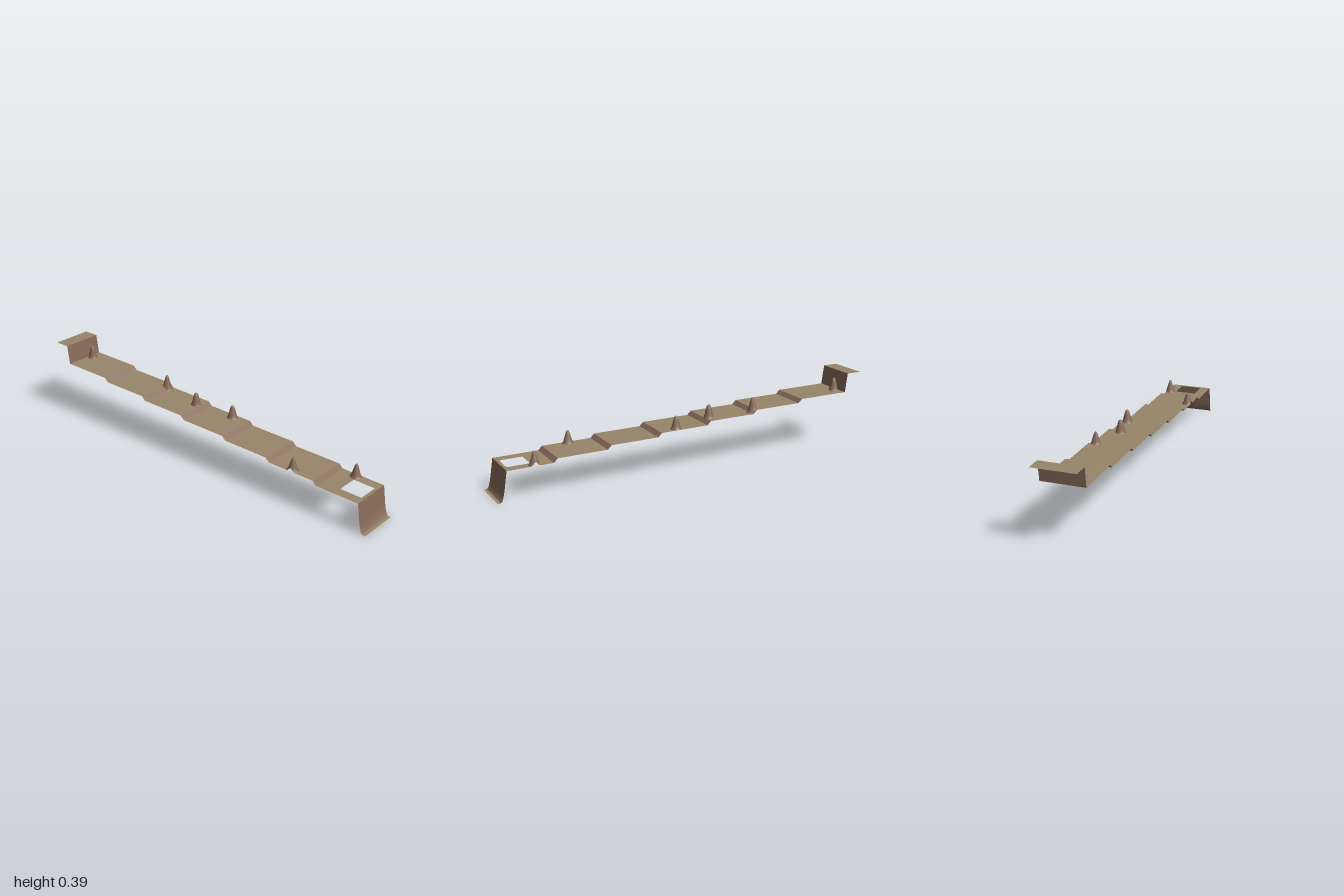
import * as THREE from 'three';

const W = 0.107; // half width of the strip

// Side profile as [z, y] points, front to back
const lip = [[1, 0], [0.985, 0.001]];
const frontWall = [[0.985, 0.001], [0.977, 0.01], [0.971, 0.03], [0.965, 0.06], [0.951, 0.15]];
const steps = [0.715, 0.445, 0.18, -0.09, -0.355, -0.625];
const treads = [];
for (let k = 0; k < 7; k++) {
  const y = 0.15 + 0.0233 * k;
  const start = k === 0 ? 0.951 : steps[k - 1] - 0.01;
  const end = k === 6 ? -0.906 : steps[k] + 0.01;
  treads.push([[start, y], [end, y + 0.004]]);
}
const backWall = [treads[6][1], [-0.92, 0.393]];
const ledge = [[-0.92, 0.393], [-1, 0.393]];

// Hollow mounds: x, z, height, radius, roundness
const mounds = [
  [0.087, 0.812, 0.068, 0.03, 1],
  [-0.087, 0.58, 0.066, 0.03, 1],
  [0.079, 0.08, 0.066, 0.029, 1.2],
  [0.038, -0.125, 0.064, 0.027, 1.5],
  [0.073, -0.355, 0.068, 0.028, 1.1],
  [0.039, -0.881, 0.067, 0.026, 1.4],
];

// Height of the stepped floor at z
const floorLine = treads.flat();
function floorY(z) {
  for (let i = 0; i < floorLine.length - 1; i++) {
    const [z0, y0] = floorLine[i], [z1, y1] = floorLine[i + 1];
    if (z >= z1) return y0 + (y1 - y0) * (z0 - z) / (z0 - z1);
  }
  return floorLine[floorLine.length - 1][1];
}

// Sheet of full width swept along a profile
function sheet(profile) {
  const g = new THREE.PlaneGeometry(2 * W, 1, 1, profile.length - 1);
  const pts = [...profile].reverse(), p = g.attributes.position;
  for (let i = 0; i < p.count; i++) {
    const [z, y] = pts[Math.floor(i / 2)];
    p.setY(i, y);
    p.setZ(i, z);
  }
  g.computeVertexNormals();
  return g;
}

// Tread with openings under the mounds, and the square hatch in the first one
function tread(k) {
  const [[z0], [z1]] = treads[k];
  const edge = { 1: [], [-1]: [] };
  const holes = [];
  for (const [x, z, , R] of mounds) {
    if (z > z0 - 0.012 || z < z1 + 0.012) continue;
    const s = Math.sign(x), d = W - Math.abs(x);
    const clipped = d < R;
    const a = clipped ? Math.acos(d / R) : 0;
    const arc = [];
    const n = 24;
    for (let i = 0; i < n + (clipped ? 1 : 0); i++) {
      const t = -a - (2 * Math.PI - 2 * a) * i / n;
      const v = THREE.MathUtils.clamp(-z + R * Math.sin(t), -z0 + 0.001, -z1 - 0.001);
      arc.push(new THREE.Vector2(x + s * R * Math.cos(t), v));
    }
    if (clipped) edge[s].push(...arc);
    else holes.push(arc);
  }
  if (k === 0) {
    holes.push([[-0.055, -0.935], [0.055, -0.935], [0.055, -0.822], [-0.055, -0.822]]
      .map(([x, v]) => new THREE.Vector2(x, v)));
  }
  const shape = new THREE.Shape([
    new THREE.Vector2(-W, -z0), new THREE.Vector2(W, -z0), ...edge[1],
    new THREE.Vector2(W, -z1), new THREE.Vector2(-W, -z1), ...edge[-1].reverse(),
  ]);
  shape.holes = holes.map((h) => new THREE.Path(h));
  const g = new THREE.ShapeGeometry(shape);
  const p = g.attributes.position;
  for (let i = 0; i < p.count; i++) {
    const z = -p.getY(i);
    p.setXYZ(i, p.getX(i), floorY(z), z);
  }
  g.computeVertexNormals();
  return g;
}

// Bell-shaped shell, cut open where it meets the edge of the strip
function mound([x, z, H, R, round]) {
  const rings = 10, segs = 40, pos = [x, floorY(z) + H, z], index = [];
  for (let i = 1; i <= rings; i++) {
    for (let j = 0; j < segs; j++) {
      const a = j / segs * Math.PI * 2, c = Math.cos(a), s = Math.sin(a);
      const reach = Math.abs(c) < 1e-4 ? R : Math.min(R, (W - Math.sign(c) * x) / Math.abs(c));
      const r = reach * i / rings, pz = z - r * s;
      const h = H * (0.5 + 0.5 * Math.cos(Math.PI * Math.pow(r / R, round)));
      pos.push(x + r * c, floorY(pz) + h, pz);
      const n = (j + 1) % segs, o = 1 + (i - 1) * segs;
      if (i === 1) index.push(0, o + j, o + n);
      else index.push(o - segs + j, o + j, o + n, o - segs + j, o + n, o - segs + n);
    }
  }
  const g = new THREE.BufferGeometry();
  g.setAttribute('position', new THREE.Float32BufferAttribute(pos, 3));
  g.setIndex(index);
  g.computeVertexNormals();
  return g;
}

export function createModel() {
  const group = new THREE.Group();
  group.name = 'steppedPath';
  const sand = new THREE.MeshStandardMaterial({ color: 0x978669, side: THREE.DoubleSide });
  sand.name = 'sand';
  const rock = new THREE.MeshStandardMaterial({ color: 0x866b5a, side: THREE.DoubleSide });
  rock.name = 'rock';
  const add = (name, geometry, material) => {
    const m = new THREE.Mesh(geometry, material);
    m.name = name;
    group.add(m);
  };

  // End walls and their flat lips
  add('frontLip', sheet(lip), sand);
  add('frontWall', sheet(frontWall), rock);
  add('backWall', sheet(backWall), rock);
  add('backLedge', sheet(ledge), sand);

  // Treads and risers
  treads.forEach((t, k) => {
    add('tread' + (k + 1), tread(k), sand);
    if (k < 6) add('riser' + (k + 1), sheet([t[1], treads[k + 1][0]]), rock);
  });

  // Rocky mounds
  mounds.forEach((m, i) => add('mound' + (i + 1), mound(m), rock));
  return group;
}
